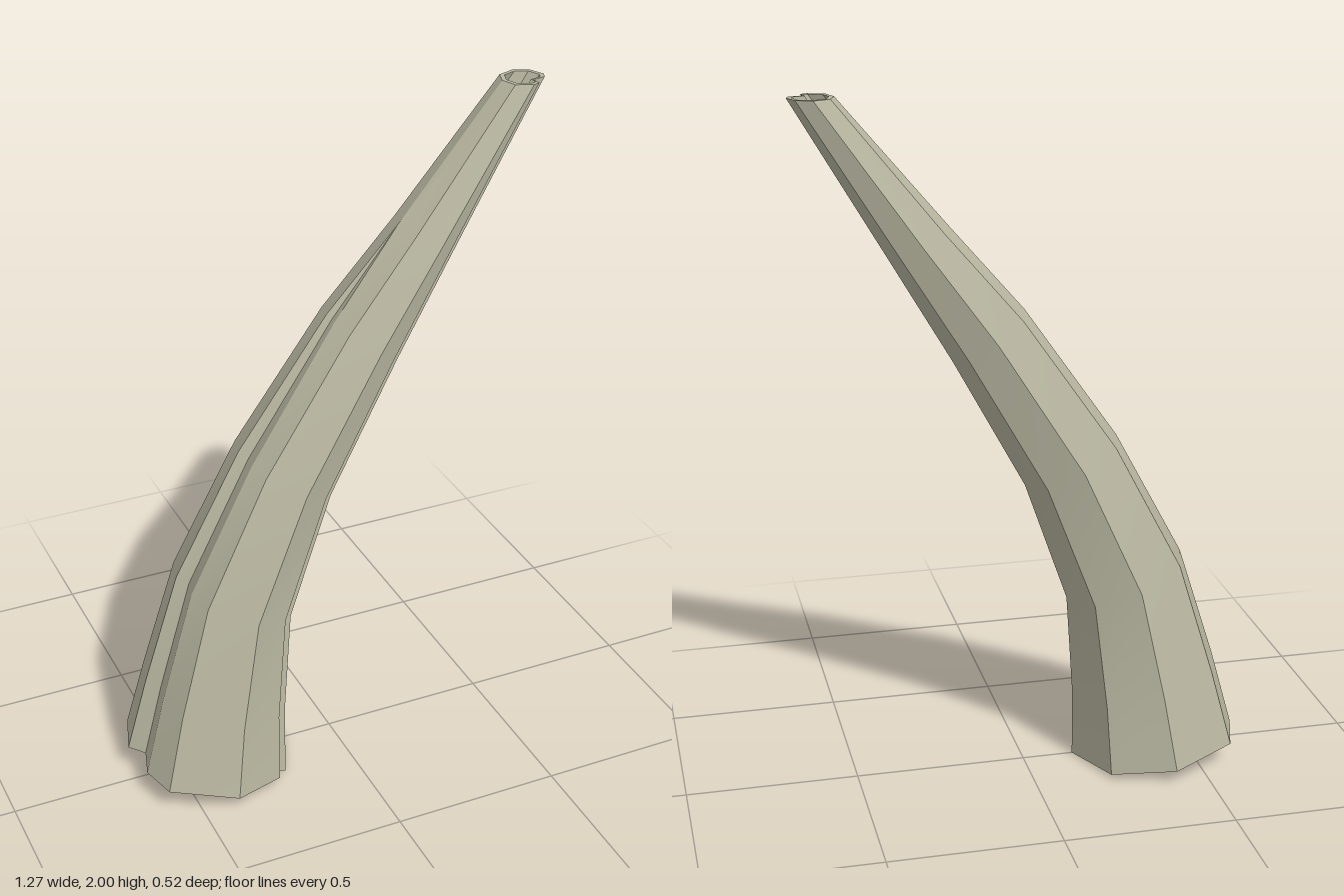
import * as THREE from 'three';
import { toCreasedNormals } from 'three/addons/utils/BufferGeometryUtils.js';

// Stations along the horn: [xLeft, yLeft, xRight, yRight, half depth, size of the back groove]
const STATIONS = [
  [-0.65, 0.08, -0.15, 0.0, 0.26, 1],
  [-0.585, 0.31, -0.15, 0.2, 0.228, 1],
  [-0.475, 0.65, -0.13, 0.51, 0.194, 1],
  [-0.275, 1.02, -0.005, 0.87, 0.165, 1],
  [-0.005, 1.4, 0.2, 1.25, 0.134, 0.7],
  [0.21, 1.64, 0.38, 1.56, 0.102, 0],
  [0.51, 2.0, 0.637, 2.0, 0.063, 0],
];
const WALL = 0.013;

// Octagonal section with two V grooves, in units of the half width and half depth
function section(t, k) {
  const s = Math.SQRT1_2;
  const mix = (a, b) => a + (b - a) * t;
  const onLeftEdge = (z) => [-1 + 0.41 * Math.abs(z), z];
  return [
    [1, 0],
    [mix(0.74, 0.87), mix(0.63, 0.32)], // front right groove
    [mix(0.6, 0.22), mix(0.6, 0.47)],
    [mix(0.62, 0.3), mix(0.743, 0.88)],
    [0, 1],
    [-s * 1.06, s],
    onLeftEdge(0.31 * k), // left groove, fading out towards the tip
    [-1 + 0.24 * k, -0.05 * k],
    onLeftEdge(-0.2 * k),
    [-s * 1.06, -s],
    [0, -1],
    [s, -s],
  ];
}

// Places a section in space, shrunk by the given inset
function ring([xl, yl, xr, yr, depth, k], inset) {
  const base = 1 / 0.26, tip = 1 / 0.063;
  const t = (1 / depth - base) / (tip - base);
  const scale = 1 - inset / depth;
  return section(t, k).map(([u, z]) => new THREE.Vector3(
    (xl + xr) / 2 + (u * scale * (xr - xl)) / 2,
    (yl + yr) / 2 + (u * scale * (yr - yl)) / 2,
    z * scale * depth,
  ));
}

// Joins consecutive loops of points, closing back to the first loop
function skin(loops) {
  const pos = [];
  const n = loops[0].length;
  loops.forEach((lo, i) => {
    const hi = loops[(i + 1) % loops.length];
    for (let j = 0; j < n; j++) {
      const m = (j + 1) % n;
      for (const p of [lo[j], hi[j], lo[m], hi[j], hi[m], lo[m]]) pos.push(p.x, p.y, p.z);
    }
  });
  const geo = new THREE.BufferGeometry();
  geo.setAttribute('position', new THREE.Float32BufferAttribute(pos, 3));
  return toCreasedNormals(geo, 0.5);
}

export function createModel() {
  const group = new THREE.Group();
  group.name = 'hollowHorn';
  const bone = new THREE.MeshStandardMaterial({ color: 0xbab8a2 });
  bone.name = 'bone';

  // Outer wall upwards, then inner wall back down, with rims at both open ends
  const outer = STATIONS.map((s) => ring(s, 0));
  const inner = STATIONS.map((s) => ring(s, WALL)).reverse();
  const shell = new THREE.Mesh(skin([...outer, ...inner]), bone);
  shell.name = 'hornShell';
  group.add(shell);
  return group;
}
